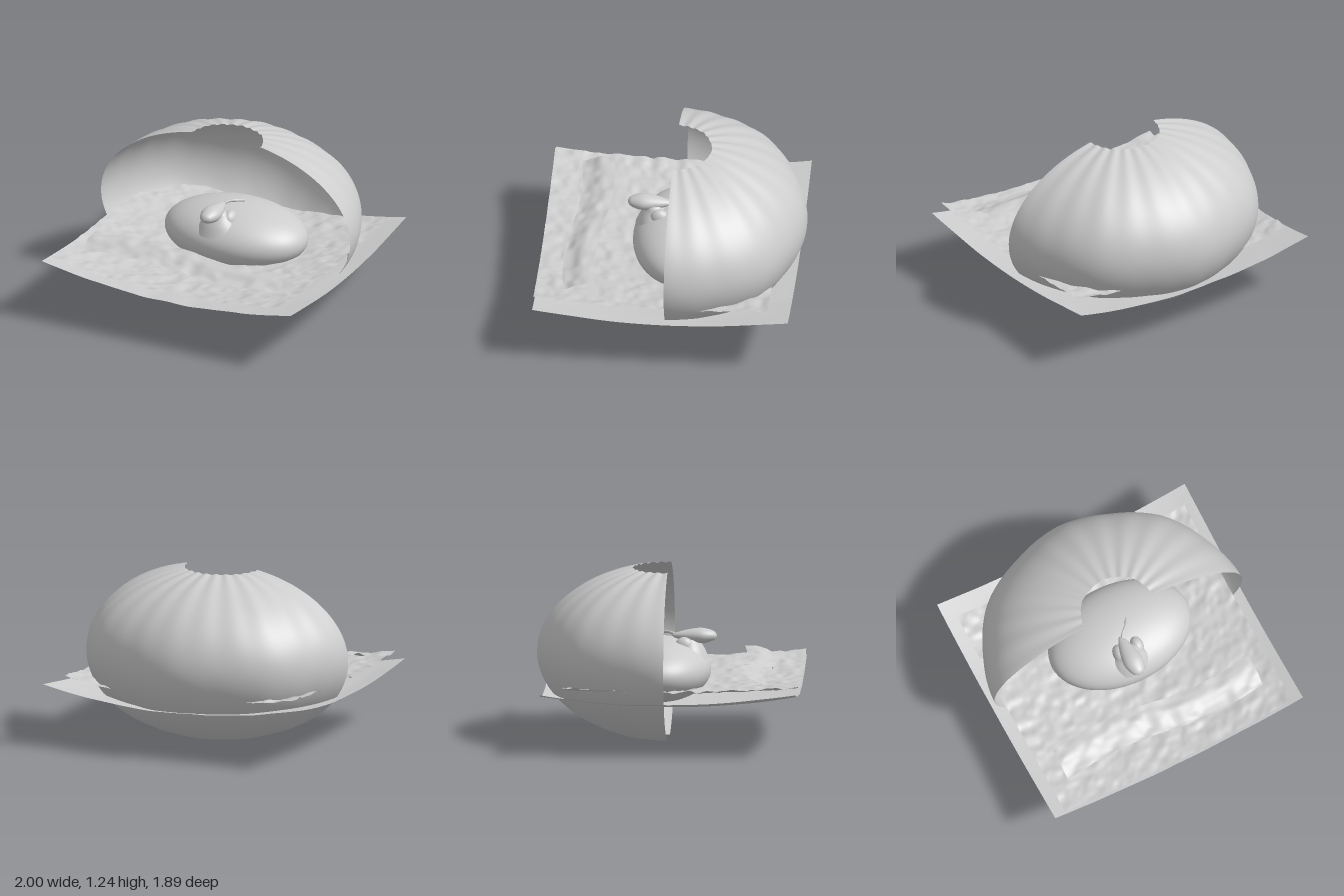
import * as THREE from 'three';

const clay = new THREE.MeshStandardMaterial({ color: 0xcccccc, side: THREE.DoubleSide });
clay.name = 'pale grey';

// Smooth seeded bumps in the range -1..1
function hash(i, j) {
  const s = Math.sin(i * 127.1 + j * 311.7 + 4.3) * 43758.5453;
  return (s - Math.floor(s)) * 2 - 1;
}
function bumps(x, z) {
  const i = Math.floor(x), j = Math.floor(z);
  const ease = (t) => t * t * (3 - 2 * t);
  const u = ease(x - i), v = ease(z - j);
  const a = hash(i, j) * (1 - u) + hash(i + 1, j) * u;
  const b = hash(i, j + 1) * (1 - u) + hash(i + 1, j + 1) * u;
  return a * (1 - v) + b * v;
}

// Cloth: a plane whose vertices are moved by rule(x, z) => [y, dz]
function cloth(x0, x1, z0, z1, nx, nz, rule) {
  const g = new THREE.PlaneGeometry(x1 - x0, z1 - z0, nx, nz).rotateX(-Math.PI / 2);
  g.translate((x0 + x1) / 2, 0, (z0 + z1) / 2);
  const p = g.attributes.position;
  for (let i = 0; i < p.count; i++) {
    const x = p.getX(i), z = p.getZ(i);
    const [y, dz] = rule(x, z);
    p.setY(i, y);
    p.setZ(i, z + dz);
  }
  g.computeVertexNormals();
  return g;
}

// Back half of a fluted ellipsoid, open at both poles
function shellGeometry() {
  const g = new THREE.SphereGeometry(1, 128, 64, Math.PI, Math.PI, 0.28, Math.PI - 0.28 - 0.14);
  const p = g.attributes.position;
  for (let i = 0; i < p.count; i++) {
    const x = p.getX(i), y = p.getY(i), z = p.getZ(i);
    const a = Math.atan2(z, x);
    const r = 1 + 0.008 * (Math.cos(8 * a) - 1) + 0.003 * (Math.cos(24 * a) - 1) * Math.abs(y);
    p.setXYZ(i, x * r, 0.624 + y * 0.631 + 0.004 * Math.cos(24 * a) * Math.max(0, y), z * r * 0.946);
  }
  g.computeVertexNormals();
  return g;
}

function lathe(points, segments) {
  const curve = new THREE.SplineCurve(points.map(([r, y]) => new THREE.Vector2(r, y)));
  const pts = curve.getPoints(32).map((q) => new THREE.Vector2(Math.max(0, q.x), q.y));
  return new THREE.LatheGeometry(pts, segments);
}

export function createModel() {
  const model = new THREE.Group();
  const add = (name, geometry) => {
    const mesh = new THREE.Mesh(geometry, clay);
    mesh.name = name;
    model.add(mesh);
    return mesh;
  };

  add('shell', shellGeometry());

  // Dished lower sheet
  add('lowerSheet', cloth(-1, 1, -0.893, 0.946, 80, 80, (x, z) =>
    [0.27 + 0.11 * x * x + 0.09 * z * z + 0.005 * bumps(x * 6, z * 3 + 9), 0]));

  // Crumpled upper sheet
  add('upperSheet', cloth(-0.92, 0.915, -0.738, 0.946, 120, 110, (x, z) =>
    [0.378 + 0.1 * x * x + 0.05 * z * z + 0.009 * bumps(x * 12, z * 16) + 0.004 * bumps(x * 25, z * 25), 0]));

  // Wavy ribbon across the front
  add('ribbon', cloth(-0.79, 0.785, 0.51, 0.74, 120, 24, (x, z) => {
    const t = (z - 0.51) / 0.23;
    const y = 0.55 - 0.046 * THREE.MathUtils.smoothstep(t, 0.3, 1) - 0.008 * Math.sin(4 * x);
    return [y + 0.01 * bumps(x * 12, z * 18), 0.033 * Math.sin(4 * x)];
  }));

  // Cushion-like body
  const body = add('body', new THREE.SphereGeometry(1, 64, 40));
  body.scale.set(0.545, 0.23, 0.375);
  body.position.set(0.05, 0.49, -0.075);

  // Flared neck and its two side lobes
  const neck = add('neck', lathe([[0.19, 0.57], [0.145, 0.645], [0.095, 0.70], [0.06, 0.735], [0, 0.745]].reverse(), 40));
  neck.scale.set(0.9, 1, 0.72);
  neck.position.set(0.015, 0, 0.15);
  for (const side of [-1, 1]) {
    const lobe = add('neckLobe', new THREE.SphereGeometry(1, 24, 16));
    lobe.scale.set(0.05, 0.07, 0.07);
    lobe.position.set(0.02 + side * 0.07, 0.665, 0.11);
  }

  // Teardrop head pointing forward
  const head = add('head', lathe([[0, -0.345], [0.04, -0.325], [0.068, -0.26], [0.07, -0.2],
    [0.052, -0.12], [0.026, -0.05], [0.008, -0.025], [0, -0.02]], 40).rotateX(-Math.PI / 2));
  head.scale.y = 0.77;
  head.position.y = 0.74;

  // Curved stem behind the head
  const stem = new THREE.CatmullRomCurve3([
    new THREE.Vector3(0.005, 0.745, 0.05), new THREE.Vector3(0.03, 0.757, 0.012),
    new THREE.Vector3(0.075, 0.755, -0.03), new THREE.Vector3(0.108, 0.74, -0.085)]);
  add('stem', new THREE.TubeGeometry(stem, 24, 0.01, 10));

  return model;
}
